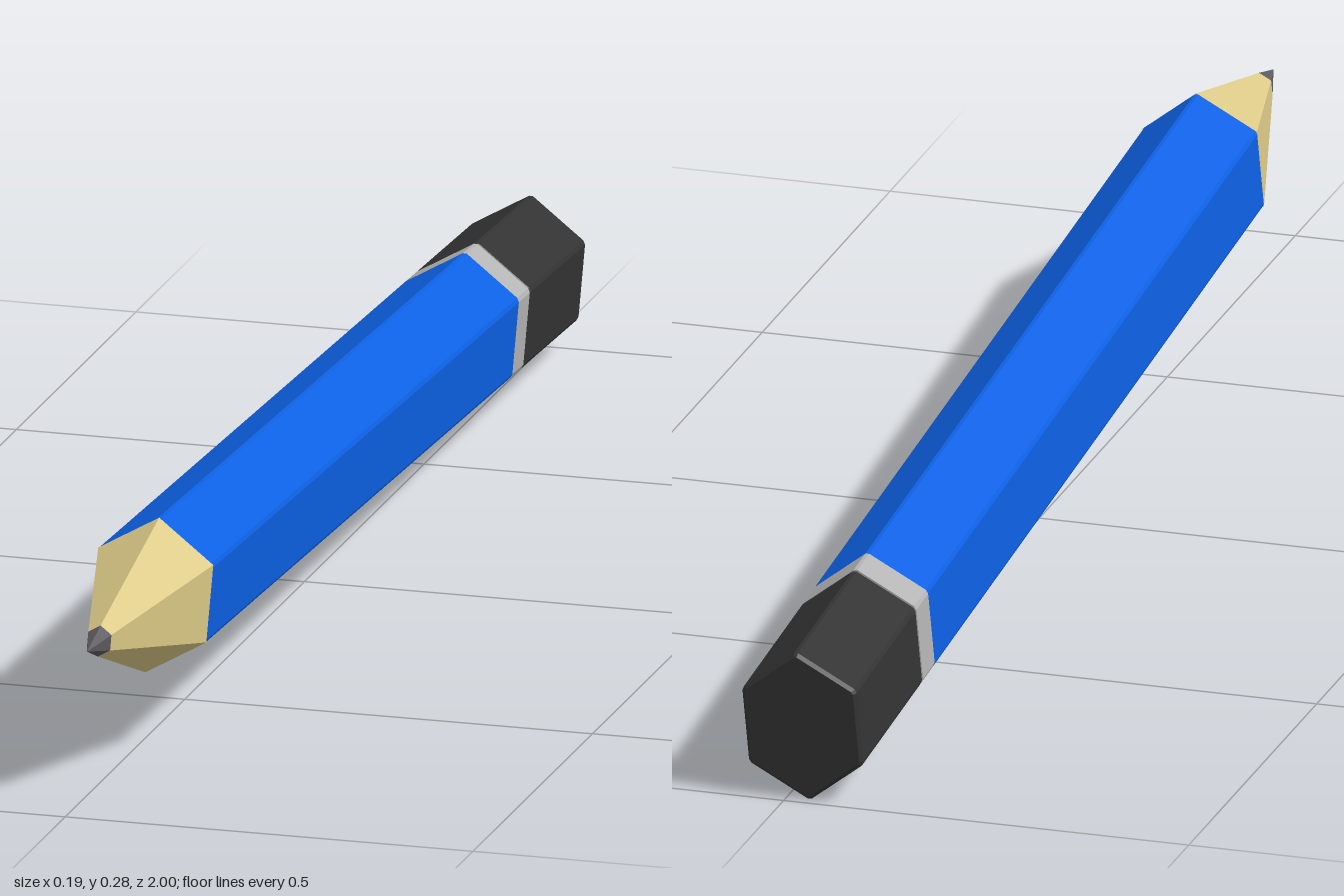
import * as THREE from 'three';

const R = 0.0945;      // corner radius of the hexagonal section
const SQUASH = 0.86;   // the section is narrower across its flats
const EDGE = 0.035;    // share of each side removed to soften a corner

const paint = (color) => new THREE.MeshStandardMaterial({ color, flatShading: true });

// Hexagon with a corner at the top and narrowly chamfered corners
function hexShape() {
  const corners = [];
  for (let i = 0; i < 6; i++) {
    const a = Math.PI / 2 + (i * Math.PI) / 3;
    corners.push(new THREE.Vector2(Math.cos(a) * R * SQUASH, Math.sin(a) * R));
  }
  const points = corners.flatMap((c, i) => [
    c.clone().lerp(corners[(i + 5) % 6], EDGE),
    c.clone().lerp(corners[(i + 1) % 6], EDGE),
  ]);
  return new THREE.Shape(points);
}

// Straight hexagonal length from z0 to z1, optionally with bevelled ends
function prism(name, z0, z1, color, bevel = 0) {
  const geometry = new THREE.ExtrudeGeometry(hexShape(), {
    depth: z1 - z0 - 2 * bevel,
    bevelEnabled: bevel > 0,
    bevelThickness: bevel,
    bevelSize: bevel,
    bevelOffset: -bevel,
    bevelSegments: 1,
  });
  geometry.translate(0, 0, z0 + bevel);
  const mesh = new THREE.Mesh(geometry, paint(color));
  mesh.name = name;
  return mesh;
}

// Six-sided taper along z
function taper(name, z0, r0, z1, r1, color) {
  const geometry = new THREE.CylinderGeometry(r1, r0, z1 - z0, 6);
  geometry.rotateX(Math.PI / 2);
  geometry.scale(SQUASH, 1, 1);
  geometry.translate(0, 0, (z0 + z1) / 2);
  const mesh = new THREE.Mesh(geometry, paint(color));
  mesh.name = name;
  return mesh;
}

export function createModel() {
  const pencil = new THREE.Group();
  pencil.name = 'pencil';
  pencil.add(
    prism('eraser', -0.996, -0.74, 0x333333, 0.004),
    prism('ferrule', -0.74, -0.69, 0xb4b4b4),
    prism('body', -0.69, 0.705, 0x0d61e4),
    taper('sharpenedWood', 0.705, R, 0.947, 0.019, 0xdcca88),
    taper('leadTip', 0.947, 0.019, 1.0, 0.001, 0x5c5a60),
  );

  // Resting tilt: tip raised, slightly turned and rolled
  pencil.rotation.set(-0.0567, 0.024, -0.075, 'YXZ');
  pencil.position.set(0.003, 0.151, 0);

  const model = new THREE.Group();
  model.add(pencil);
  return model;
}
